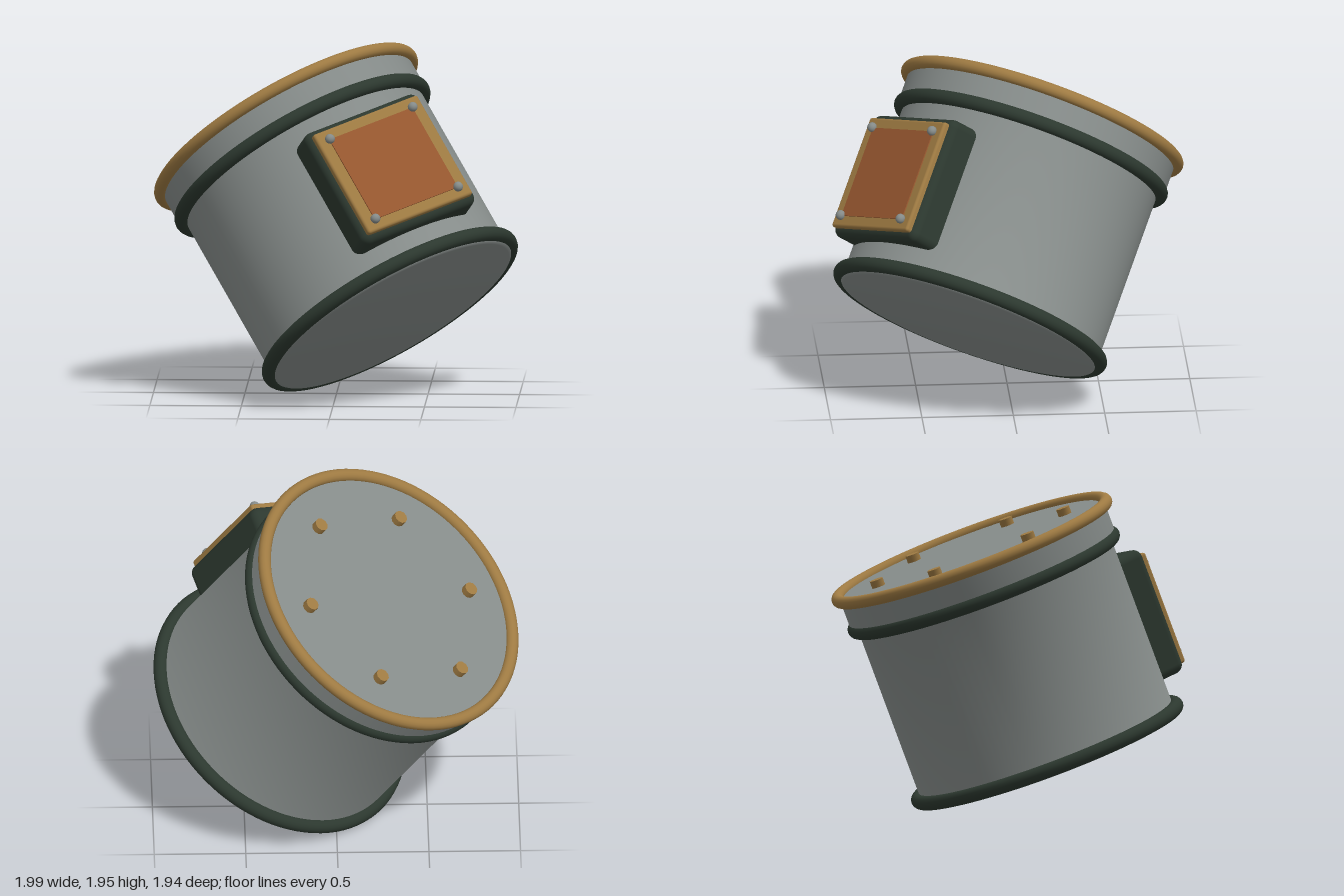
import * as THREE from 'three';
import { toCreasedNormals } from 'three/addons/utils/BufferGeometryUtils.js';
import { RoundedBoxGeometry } from 'three/addons/geometries/RoundedBoxGeometry.js';

const material = (name, color) => {
  const m = new THREE.MeshStandardMaterial({ color });
  m.name = name;
  return m;
};

export function createModel() {
  const steel = material('steel grey', 0x858b89);
  const brass = material('brass', 0x9e7a42);
  const copper = material('copper', 0x96572f);
  const green = material('dark green', 0x2c382f);

  const model = new THREE.Group();
  model.name = 'drum';

  const add = (name, geometry, mat, x = 0, y = 0, z = 0) => {
    const mesh = new THREE.Mesh(geometry, mat);
    mesh.name = name;
    mesh.position.set(x, y, z);
    model.add(mesh);
    return mesh;
  };
  const lathe = (points) => toCreasedNormals(
    new THREE.LatheGeometry(points.map(([r, y]) => new THREE.Vector2(r, y)), 96), 0.6);
  const ring = (name, radius, tube, y, mat) => {
    const g = new THREE.TorusGeometry(radius, tube, 16, 96);
    g.rotateX(Math.PI / 2);
    add(name, g, mat, 0, y, 0);
  };

  // Drum wall with a softly rounded base, and the wider lid
  add('body', lathe([[0, -0.045], [0.715, -0.045], [0.73, -0.041], [0.741, -0.03],
    [0.745, -0.015], [0.735, 0], [0.735, 1.0]]), steel);
  add('lid', lathe([[0.735, 1.0], [0.77, 1.0], [0.77, 1.187], [0, 1.187]]), steel);

  // Rings around the drum
  ring('baseRing', 0.75, 0.04, 0, green);
  ring('lidSeam', 0.75, 0.04, 1.0, green);
  ring('topRim', 0.78, 0.035, 1.187, brass);

  // Six studs on the lid
  for (let i = 0; i < 6; i++) {
    const a = i * Math.PI / 3;
    const stud = add('lidStud', toCreasedNormals(new THREE.CylinderGeometry(0.038, 0.038, 0.06, 10), 0.7),
      brass, 0.547 * Math.cos(a), 1.197, 0.547 * Math.sin(a));
    stud.rotation.y = -a;
  }

  // Framed plaque on the wall
  const plaqueY = 0.5;
  add('plaqueBacking', new RoundedBoxGeometry(0.75, 0.72, 0.32, 5, 0.05), green, 0, plaqueY, 0.65);
  add('plaqueFrame', new RoundedBoxGeometry(0.69, 0.645, 0.08, 3, 0.015), brass, 0, plaqueY, 0.8);
  add('plaquePanel', new THREE.BoxGeometry(0.55, 0.52, 0.009), copper, 0, plaqueY, 0.842);
  for (const sx of [-1, 1]) for (const sy of [-1, 1]) {
    add('plaqueScrew', new THREE.SphereGeometry(0.027, 16, 12), steel,
      sx * 0.274, plaqueY + sy * 0.26, 0.853);
  }

  // Lean the drum: its axis and the plaque direction define the pose
  const up = new THREE.Vector3(-0.492, 0.79, -0.366).normalize();
  const out = new THREE.Vector3(0.337, 0.561, 0.757);
  const side = new THREE.Vector3().crossVectors(up, out).normalize();
  out.crossVectors(side, up);
  model.quaternion.setFromRotationMatrix(new THREE.Matrix4().makeBasis(side, up, out));
  model.position.set(0.3, 0.5, 0.222);

  const root = new THREE.Group();
  root.name = 'leaningDrum';
  root.add(model);
  return root;
}
